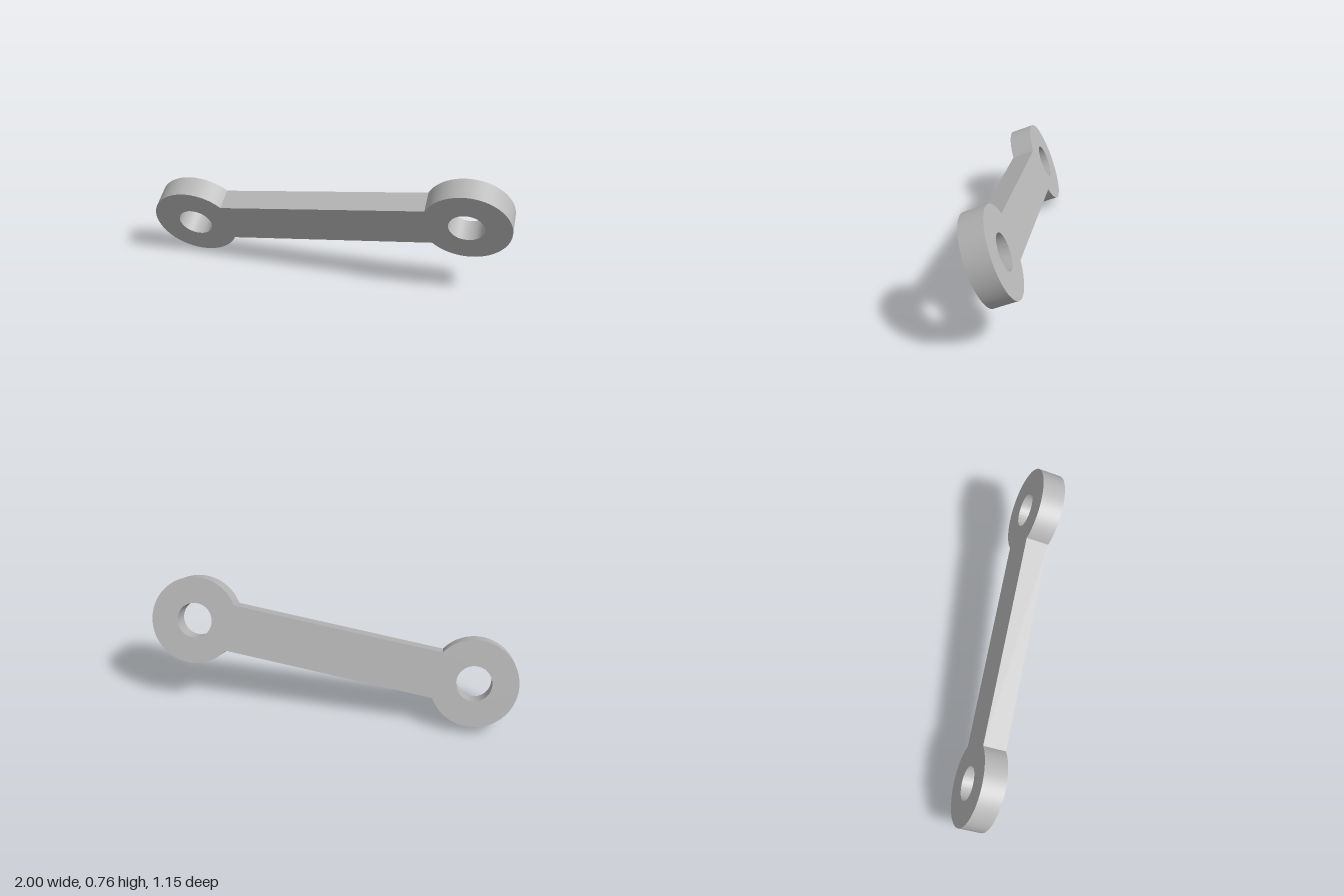
import * as THREE from 'three';
import { toCreasedNormals } from 'three/addons/utils/BufferGeometryUtils.js';

export function createModel() {
  const gray = new THREE.MeshStandardMaterial({ color: 0xb8b8b8 });
  gray.name = 'plain gray';

  const half = 0.835;       // half the distance between the hole centres
  const eyeRadius = 0.255;
  const holeRadius = 0.103;
  const barHalfWidth = 0.137;
  const thickness = 0.139;

  // Outline: two round eyes joined by a straight bar
  const a = Math.asin(barHalfWidth / eyeRadius);
  const outline = new THREE.Shape();
  outline.absarc(-half, 0, eyeRadius, a, 2 * Math.PI - a, false);
  outline.absarc(half, 0, eyeRadius, Math.PI + a, 3 * Math.PI - a, false);
  outline.closePath();

  // Pin hole through each eye
  for (const x of [-half, half]) {
    const hole = new THREE.Path();
    hole.absarc(x, 0, holeRadius, 0, 2 * Math.PI, true);
    outline.holes.push(hole);
  }

  const flat = new THREE.ExtrudeGeometry(outline, {
    depth: thickness, bevelEnabled: false, curveSegments: 48,
  });
  flat.translate(0, 0, -thickness / 2);
  const link = new THREE.Mesh(toCreasedNormals(flat, 0.5), gray);
  link.name = 'connectingLink';

  // Tilt: x along the bar, z out of the front face
  const along = new THREE.Vector3(0.886, 0.141, -0.441).normalize();
  const across = new THREE.Vector3(0.455, -0.385, 0.803).cross(along).normalize();
  const out = along.clone().cross(across);
  link.quaternion.setFromRotationMatrix(new THREE.Matrix4().makeBasis(along, across, out));
  link.position.y = 0.38;

  const group = new THREE.Group();
  group.name = 'linkArm';
  group.add(link);
  return group;
}
